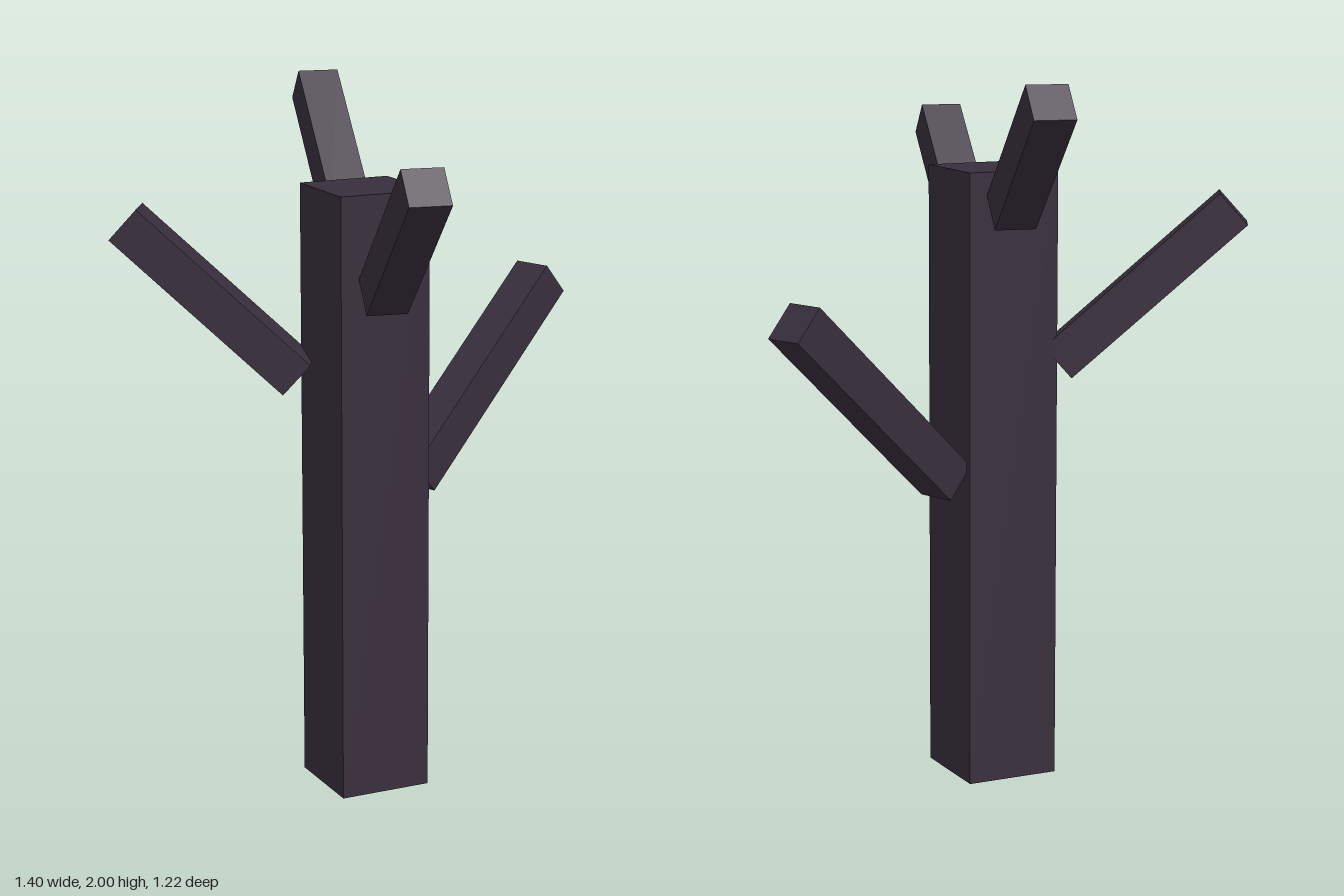
import * as THREE from 'three';

export function createModel() {
  const model = new THREE.Group();
  model.name = 'bareTree';

  const bark = new THREE.MeshStandardMaterial({ color: 0x382e3c });
  bark.name = 'darkBark';

  // Square trunk
  const trunk = new THREE.Mesh(new THREE.BoxGeometry(0.27, 1.74, 0.27), bark);
  trunk.name = 'trunk';
  trunk.position.set(-0.06, 0.87, -0.021);
  model.add(trunk);

  // Square branches, all rising at the same angle: name, centre, length, heading in degrees
  const thickness = 0.117;
  const rise = THREE.MathUtils.degToRad(42);
  const branches = [
    ['frontBranch', [-0.126, 1.648, 0.362], 0.545, -10],
    ['backBranch', [0.006, 1.795, -0.385], 0.485, 170],
    ['leftBranch', [0.381, 1.128, -0.182], 0.757, 110],
    ['rightBranch', [-0.43, 1.415, -0.237], 0.65, -120],
  ];
  for (const [name, centre, length, heading] of branches) {
    const branch = new THREE.Mesh(new THREE.BoxGeometry(thickness, thickness, length), bark);
    branch.name = name;
    branch.position.set(...centre);
    branch.rotation.set(-rise, THREE.MathUtils.degToRad(heading), 0, 'YXZ');
    model.add(branch);
  }

  return model;
}
